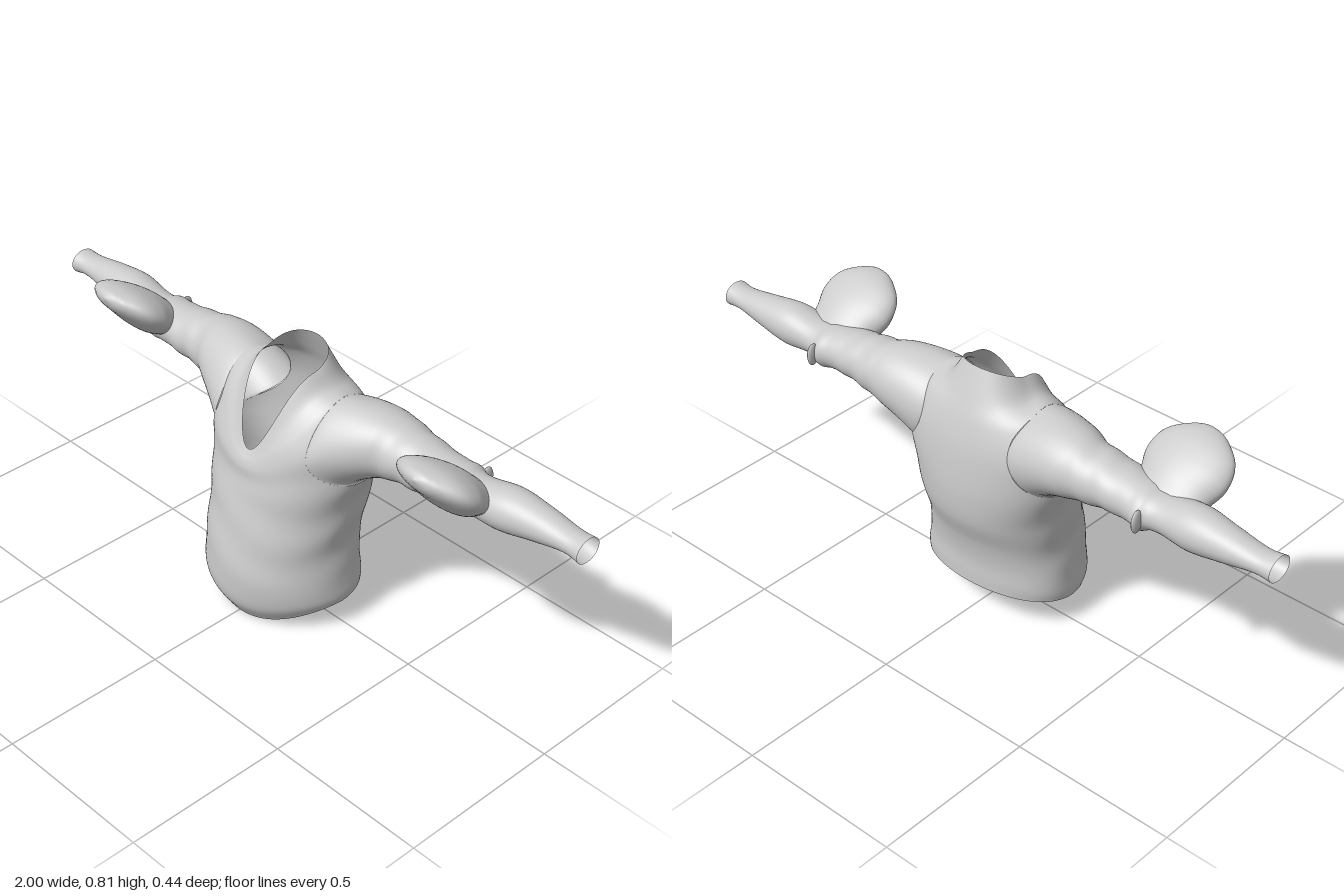
import * as THREE from 'three';

const TAU = Math.PI * 2;
const cloth = new THREE.MeshStandardMaterial({ color: 0xcccccc, side: THREE.DoubleSide });

function named(geometry, name) {
  const mesh = new THREE.Mesh(geometry, cloth);
  mesh.name = name;
  return mesh;
}

// Smoothly resamples a short table of cross-sections; the first column is the parameter.
function section(rows) {
  const stride = rows[0].length - 1;
  const curve = new THREE.CubicInterpolant(rows.map(r => r[0]), rows.flatMap(r => r.slice(1)), stride);
  return t => Array.from(curve.evaluate(t));
}

// Skins closed rings into an open tube; skip(t, angle) leaves faces out.
function loft(rings, segments, point, skip = () => false) {
  const pts = [], index = [];
  for (let j = 0; j <= rings; j++)
    for (let i = 0; i < segments; i++) pts.push(point(j / rings, (i / segments) * TAU));
  for (let j = 0; j < rings; j++)
    for (let i = 0; i < segments; i++) {
      if (skip((j + 0.5) / rings, ((i + 0.5) / segments) * TAU)) continue;
      const a = j * segments + i, b = j * segments + (i + 1) % segments;
      const c = a + segments, d = b + segments;
      index.push(a, b, d, a, d, c);
    }
  const g = new THREE.BufferGeometry().setFromPoints(pts);
  g.setIndex(index);
  g.computeVertexNormals();
  return g;
}

// Sleeve: x, bottom y, top y, back z, front z
const sleeveAt = section([
  [0.22, 0.49, 0.725, -0.205, 0.095],
  [0.30, 0.515, 0.725, -0.19, 0.042],
  [0.37, 0.535, 0.708, -0.178, 0.008],
  [0.47, 0.55, 0.69, -0.165, 0.0],
  [0.56, 0.552, 0.678, -0.163, -0.01],
  [0.59, 0.548, 0.675, -0.170, -0.01],
  [0.615, 0.56, 0.668, -0.157, -0.02],
  [0.75, 0.56, 0.685, -0.163, -0.03],
  [0.85, 0.578, 0.675, -0.155, -0.048],
  [0.96, 0.596, 0.660, -0.143, -0.06],
  [1.00, 0.590, 0.664, -0.143, -0.055],
]);

// Torso: ring, half width, front z, side z, back z, front y, side y, back y
const torsoAt = section([
  [0, 0.244, 0.178, 0.0, -0.172, 0.0, 0.08, 0.11],
  [1, 0.246, 0.212, 0.0, -0.172, 0.06, 0.11, 0.14],
  [2, 0.236, 0.220, 0.0, -0.172, 0.14, 0.18, 0.20],
  [3, 0.230, 0.208, 0.0, -0.185, 0.24, 0.26, 0.27],
  [4, 0.235, 0.190, -0.01, -0.212, 0.33, 0.34, 0.35],
  [5, 0.246, 0.175, -0.03, -0.220, 0.41, 0.42, 0.43],
  [6, 0.262, 0.162, -0.05, -0.216, 0.46, 0.52, 0.51],
  [7, 0.250, 0.160, -0.06, -0.205, 0.495, 0.63, 0.59],
  [8, 0.200, 0.155, -0.06, -0.185, 0.515, 0.708, 0.66],
  [9, 0.135, 0.147, -0.04, -0.160, 0.53, 0.728, 0.72],
  [10, 0.094, 0.138, -0.03, -0.122, 0.545, 0.768, 0.805],
]);

function torsoPoint(t, a) {
  const [w, zf, zs, zb, yf, ys, yb] = torsoAt(t * 10);
  const s = Math.cos(a), k = Math.abs(s);
  const y = s > 0 ? ys + (yf - ys) * Math.pow(k, 2.2) : ys + (yb - ys) * Math.pow(k, 0.8);
  // Soft horizontal creases around the belly and chest
  const fold = 1 + 0.01 * Math.sin(y * 42 + 2 * Math.sin(a * 2)) * Math.sin(Math.PI * t);
  // The back is squarer than the front
  const z = s > 0 ? (zs + (zf - zs) * k) * fold : zs + (zb - zs) * Math.pow(k, 0.8);
  return new THREE.Vector3(w * Math.sin(a) * fold, y, z);
}

// Armhole: an oval in the torso's own height and angle
const hole = { t: 0.695, rt: 0.135, a: 1.62, ra: 0.82 };
const mirrorAngle = a => (a > Math.PI ? TAU - a : a);
const armholeRadius = (t, a) => Math.hypot((t - hole.t) / hole.rt, (mirrorAngle(a) - hole.a) / hole.ra);

// Points within the armhole are drawn out to its rim, so the opening is clean
function torsoSkin(t, a) {
  const r = armholeRadius(t, a);
  if (r >= 1 || r < 0.01) return torsoPoint(t, a);
  const angle = hole.a + (mirrorAngle(a) - hole.a) / r;
  return torsoPoint(hole.t + (t - hole.t) / r, a > Math.PI ? TAU - angle : angle);
}

// The sleeve grows out of the armhole and eases into its own cross-sections
const sleeveX = t => 0.22 + 0.78 * t;

function sleeve(side) {
  const point = (t, a) => {
    const x = sleeveX(t);
    const [y0, y1, z0, z1] = sleeveAt(x);
    // Slanting creases on the upper arm
    const r = 1 + 0.022 * Math.sin(x * 75 + 2 * a * side) * Math.exp(-(((x - 0.43) / 0.1) ** 2));
    const c = Math.cos(a), s = Math.sin(a) * side;
    const p = new THREE.Vector3(x, (y0 + y1) / 2 + c * r * (y1 - y0) / 2, (z0 + z1) / 2 + s * r * (z1 - z0) / 2);
    const root = torsoPoint(hole.t + hole.rt * c, hole.a - hole.ra * s);
    p.lerpVectors(root, p, THREE.MathUtils.smoothstep(x, 0.22, 0.34));
    p.x *= side;
    return p;
  };
  // Opening into the elbow pad
  const underPad = (t, a) =>
    Math.hypot((sleeveX(t) - 0.61) / 0.085, ((side > 0 ? a : TAU - a) - 1.06) / 0.8) < 1;
  return loft(90, 48, point, underPad);
}

// Elbow pad: step, upper z and y, lower z and y, half width
const padAt = section([
  [0, -0.085, 0.670, -0.035, 0.588, 0.105],
  [0.25, -0.045, 0.708, 0.0, 0.597, 0.115],
  [0.5, 0.005, 0.742, 0.040, 0.628, 0.132],
  [0.75, 0.062, 0.767, 0.085, 0.680, 0.115],
  [0.9, 0.100, 0.771, 0.113, 0.713, 0.072],
  [0.97, 0.120, 0.767, 0.125, 0.733, 0.038],
  [1, 0.129, 0.756, 0.130, 0.750, 0.0],
]);

// Rounded pouch rising forward from the elbow to a blunt tip
function elbowPad() {
  return loft(30, 40, (t, a) => {
    const [zu, yu, zl, yl, w] = padAt(t);
    const c = Math.cos(a) / 2;
    return new THREE.Vector3(w * Math.sin(a), (yu + yl) / 2 + c * (yu - yl), (zu + zl) / 2 + c * (zu - zl));
  }).rotateY(0);
}

export function createModel() {
  const model = new THREE.Group();
  model.name = 'pullover';
  model.add(named(loft(90, 90, torsoSkin, (t, a) => armholeRadius(t, a) < 0.95), 'torso'));

  for (const side of [1, -1]) {
    const arm = new THREE.Group();
    arm.name = side > 0 ? 'leftArm' : 'rightArm';
    arm.add(named(sleeve(side), 'sleeve'));

    const pad = named(elbowPad(), 'elbowPad');
    pad.position.x = side * 0.61;
    arm.add(pad);

    // Small pinch of cloth behind the elbow
    const pinch = named(new THREE.SphereGeometry(1, 12, 10), 'elbowFold');
    pinch.scale.set(0.009, 0.035, 0.022);
    pinch.position.set(side * 0.6, 0.61, -0.167);
    arm.add(pinch);
    model.add(arm);
  }
  return model;
}
